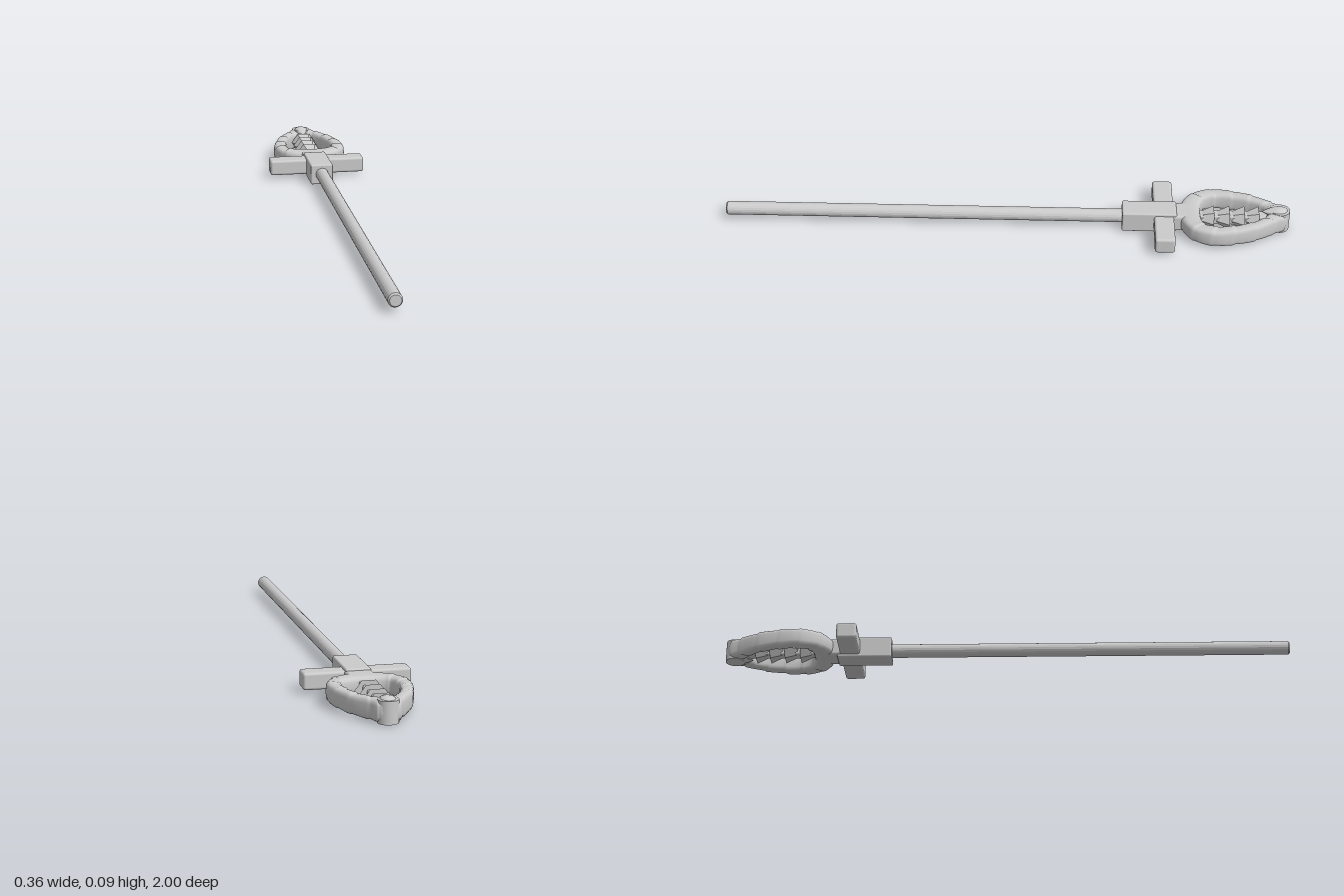
import * as THREE from 'three';
import { RoundedBoxGeometry } from 'three/addons/geometries/RoundedBoxGeometry.js';

const MID = 0.042; // height of the shaft axis
const smooth = new THREE.MeshStandardMaterial({ color: 0xcccccc });
const faceted = new THREE.MeshStandardMaterial({ color: 0xcccccc, flatShading: true });

function add(group, name, geometry, material = smooth) {
  const mesh = new THREE.Mesh(geometry, material);
  mesh.name = name;
  group.add(mesh);
  return mesh;
}

// Rounded block given by its limits
function block(group, name, x, y0, y1, z0, z1, r = 0.008) {
  const g = new RoundedBoxGeometry(2 * x, y1 - y0, z1 - z0, 3, r);
  g.translate(0, (y0 + y1) / 2, (z0 + z1) / 2);
  return add(group, name, g);
}

// Closed curve in the xz plane from the +x half outline
function mirroredCurve(half) {
  const left = half.slice(1, -1).reverse().map(([x, z]) => [-x, z]);
  const pts = [...half, ...left].map(([x, z]) => new THREE.Vector3(x, 0, z));
  return new THREE.CatmullRomCurve3(pts, true, 'centripetal');
}

// Leaf-shaped ring: rounded sections lofted between inner and outer outlines
function ringGeometry() {
  const outer = mirroredCurve([[0, -0.61], [0.06, -0.62], [0.11, -0.655], [0.137, -0.725],
    [0.128, -0.8], [0.1, -0.88], [0.055, -0.95], [0.034, -0.985], [0, -0.996]]);
  const inner = mirroredCurve([[0, -0.685], [0.04, -0.688], [0.074, -0.703], [0.087, -0.745],
    [0.08, -0.805], [0.062, -0.86], [0.038, -0.9], [0.018, -0.915], [0, -0.918]]);
  const n = 160, m = 20, pos = [], index = [];
  const power = (v) => Math.sign(v) * Math.pow(Math.abs(v), 0.6);
  for (let i = 0; i < n; i++) {
    const a = outer.getPoint(i / n), b = inner.getPoint(i / n);
    const along = 1 - Math.abs(1 - 2 * i / n); // 0 at the neck, 1 at the tip
    // overlapping scale steps along both arms
    const step = along > 0.2 && along < 0.9 ? ((along * 8) % 1) * 0.12 - 0.06 : 0;
    const h = 0.031 * (1 + step) + 0.004 * along;
    for (let j = 0; j < m; j++) {
      const t = j / m * Math.PI * 2;
      const p = b.clone().lerp(a, 0.5 + 0.5 * power(Math.cos(t)) * (1 + step * 0.5));
      pos.push(p.x, MID + h * power(Math.sin(t)), p.z);
      const i2 = (i + 1) % n, j2 = (j + 1) % m;
      const q = i * m + j, r = i2 * m + j, s = i2 * m + j2, u = i * m + j2;
      index.push(q, r, s, q, s, u);
    }
  }
  const g = new THREE.BufferGeometry();
  g.setAttribute('position', new THREE.Float32BufferAttribute(pos, 3));
  g.setIndex(index);
  g.computeVertexNormals();
  return g;
}

// Teardrop, rounded at the back and pointed toward the front
function gemGeometry(height) {
  const g = new THREE.SphereGeometry(1, 28, 18);
  const p = g.attributes.position;
  for (let i = 0; i < p.count; i++) {
    const z = p.getZ(i);
    const taper = z > -0.3 ? 1 - 0.65 * (z + 0.3) / 1.3 : 1;
    p.setXYZ(i, p.getX(i) * taper * 0.029, p.getY(i) * taper * height, z * 0.046);
  }
  g.computeVertexNormals();
  return g;
}

export function createModel() {
  const model = new THREE.Group();
  model.name = 'ornateRod';

  // Shaft with a small chamfer at the free end
  const profile = [[0, -0.5], [0.024, -0.5], [0.024, 0.994], [0.019, 1], [0, 1]]
    .map(([r, z]) => new THREE.Vector2(r, z));
  add(model, 'shaft', new THREE.LatheGeometry(profile, 20).rotateX(Math.PI / 2).translate(0, MID, 0), faceted);

  // Socket, crossbar and neck
  block(model, 'socket', 0.042, 0.003, 0.079, -0.6, -0.408, 0.006);
  block(model, 'crossbar', 0.18, 0.013, 0.07, -0.59, -0.52, 0.009);
  block(model, 'neck', 0.045, 0.01, 0.073, -0.65, -0.58, 0.01);

  // Ring and its thicker tip
  add(model, 'ring', ringGeometry());
  const tip = new THREE.CylinderGeometry(0.034, 0.034, 0.074, 24);
  tip.translate(0, 0.041, -0.966);
  add(model, 'ringTip', tip);

  // Teardrops set in the tip, above and below
  add(model, 'topGem', gemGeometry(0.018)).position.set(0, 0.071, -0.948);
  add(model, 'bottomGem', gemGeometry(0.011)).position.set(0, 0.011, -0.948);

  // Spine with four flared segments
  block(model, 'spine', 0.02, 0.024, 0.06, -0.93, -0.65, 0.006);
  for (const z of [-0.71, -0.765, -0.818, -0.868]) {
    const g = new THREE.CylinderGeometry(0.047, 0.024, 0.044, 6, 1, false, Math.PI / 2);
    g.rotateX(-Math.PI / 2).scale(1, 0.82, 1).translate(0, MID, z);
    add(model, 'spineSegment', g, faceted);
  }
  return model;
}
